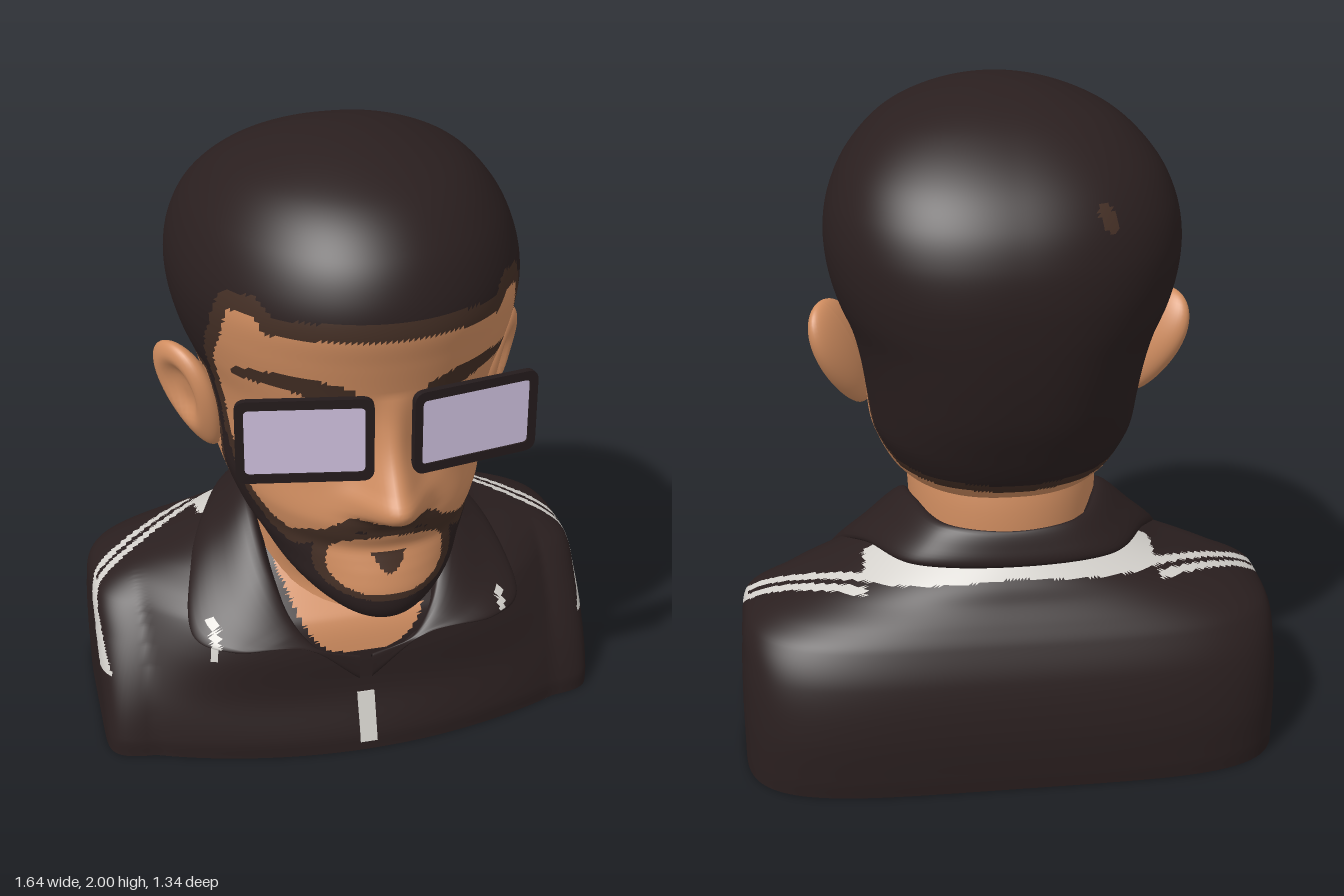
import * as THREE from 'three';

const mat = (name, color, side = THREE.FrontSide) => {
  const m = new THREE.MeshStandardMaterial({ color, side });
  m.name = name;
  return m;
};
const V = (x, y, z) => new THREE.Vector3(x, y, z);

// Smooth interpolation of key rows [t, a, b, ...]
function sample(keys, t) {
  let i = 0;
  while (i < keys.length - 2 && t > keys[i + 1][0]) i++;
  const A = keys[i], B = keys[i + 1], P = keys[Math.max(i - 1, 0)], N = keys[Math.min(i + 2, keys.length - 1)];
  const h = B[0] - A[0], s = Math.min(1, Math.max(0, (t - A[0]) / h)), s2 = s * s, s3 = s2 * s;
  return A.slice(1).map((a, k) => {
    const b = B[k + 1], m0 = (b - P[k + 1]) / (B[0] - P[0]) * h, m1 = (N[k + 1] - a) / (N[0] - A[0]) * h;
    return a * (2 * s3 - 3 * s2 + 1) + m0 * (s3 - 2 * s2 + s) + b * (3 * s2 - 2 * s3) + m1 * (s3 - s2);
  });
}

// Grid surface from fn(u, v); paint(centre) picks a material index per triangle
function surface(name, nu, nv, closed, fn, mats, paint = () => 0) {
  const cols = closed ? nu : nu + 1, pos = [], lists = mats.map(() => []);
  for (let j = 0; j <= nv; j++) for (let i = 0; i < cols; i++) pos.push(...fn(i / nu, j / nv).toArray());
  const tri = (...ids) => {
    const c = V(0, 0, 0);
    ids.forEach(k => c.add(V(pos[k * 3], pos[k * 3 + 1], pos[k * 3 + 2])));
    lists[paint(c.divideScalar(3))].push(...ids);
  };
  for (let j = 0; j < nv; j++) for (let i = 0; i < nu; i++) {
    const a = j * cols + i, b = j * cols + (i + 1) % cols;
    tri(a, b, b + cols);
    tri(a, b + cols, a + cols);
  }
  const g = new THREE.BufferGeometry();
  g.setAttribute('position', new THREE.Float32BufferAttribute(pos, 3));
  g.setIndex(lists.flat());
  let start = 0;
  lists.forEach((l, k) => { if (l.length) g.addGroup(start, l.length, k); start += l.length; });
  g.computeVertexNormals();
  const mesh = new THREE.Mesh(g, mats);
  mesh.name = name;
  return mesh;
}

// Point on a superellipse ring with separate front and back depth and squareness
function ring(u, w, zf, zb, zc, nFront, nBack) {
  const a = u * Math.PI * 2, s = Math.sin(a), c = Math.cos(a), n = c > 0 ? nFront : nBack;
  const r = (Math.abs(s) ** n + Math.abs(c) ** n) ** (-1 / n);
  return [w * s * r, zc + c * r * (c > 0 ? zf - zc : zc - zb), c * r];
}

// Signed distance to a polygon, negative inside
function polyDist(poly, x, y) {
  let d = Infinity, inside = false;
  poly.forEach(([ax, ay], i) => {
    const [bx, by] = poly[(i + 1) % poly.length], ex = bx - ax, ey = by - ay;
    const t = Math.min(1, Math.max(0, ((x - ax) * ex + (y - ay) * ey) / (ex * ex + ey * ey)));
    d = Math.min(d, Math.hypot(x - ax - ex * t, y - ay - ey * t));
    if ((ay > y) !== (by > y) && x < ax + ex * (y - ay) / ey) inside = !inside;
  });
  return inside ? -d : d;
}
const RAD = Math.PI / 180;
const polar = pts => pts.map(([deg, y]) => [deg * RAD * 0.5, y]);

// Bare skin areas as [azimuth in degrees, height]
const FACE = polar([[-30, 1.585], [20, 1.585], [37, 1.575], [43, 1.62], [52, 1.61], [58, 1.5], [66, 1.4], [70, 1.27],
  [70, 1.14], [62, 1.06], [53, 0.99], [43, 0.94], [34, 0.92], [20, 0.97], [11, 1.03], [0, 1.005], [-30, 1.005]]);
const NAPE = polar([[84, 1.3], [102, 1.3], [106, 1.1], [115, 0.97], [128, 0.89], [200, 0.86], [200, 0.4], [88, 0.4], [85, 1]]);

// height, half width, front z, back z, widest z
const HEAD = [[0.64, 0, 0.44, 0.4, 0.42], [0.66, 0.11, 0.525, 0.28, 0.38], [0.7, 0.19, 0.555, 0.16, 0.3],
  [0.76, 0.265, 0.56, 0.02, 0.2], [0.82, 0.315, 0.548, -0.35, 0.08], [0.86, 0.345, 0.535, -0.42, 0.03],
  [0.9, 0.365, 0.525, -0.455, 0], [0.95, 0.385, 0.545, -0.485, -0.03], [1, 0.4, 0.555, -0.51, -0.05],
  [1.1, 0.41, 0.535, -0.555, -0.07], [1.2, 0.425, 0.515, -0.585, -0.08], [1.3, 0.45, 0.52, -0.607, -0.09],
  [1.4, 0.49, 0.54, -0.622, -0.1], [1.5, 0.515, 0.565, -0.628, -0.1], [1.6, 0.52, 0.588, -0.617, -0.1],
  [1.7, 0.5, 0.572, -0.58, -0.1], [1.8, 0.45, 0.52, -0.505, -0.09], [1.9, 0.35, 0.41, -0.375, -0.05],
  [1.96, 0.225, 0.27, -0.245, -0.02], [2, 0, 0, 0, 0]]
  .map(([y, ...k]) => [Math.acos(Math.min(1, Math.max(-1, (1.32 - y) / 0.68))), ...k]);
// height, projection, width
const NOSE = [[0.98, 0, 0.1], [1.02, 0.035, 0.1], [1.045, 0.1, 0.095], [1.085, 0.134, 0.09], [1.13, 0.112, 0.075],
  [1.25, 0.055, 0.055], [1.4, 0, 0.05]];
// height, half width, back z, side front z, centre front z, front and back squareness
const TORSO = [[0, 0.82, -0.655, 0.185, 0.31, 11, 4.6], [0.06, 0.82, -0.662, 0.182, 0.305, 11, 4.6],
  [0.2, 0.82, -0.665, 0.15, 0.26, 8, 4.5], [0.35, 0.815, -0.64, 0.09, 0.245, 5, 4.3], [0.45, 0.8, -0.6, 0.03, 0.215, 3.6, 3.7],
  [0.5, 0.74, -0.57, 0, 0.165, 3, 3.2], [0.55, 0.62, -0.535, -0.02, 0.11, 2.6, 2.7], [0.6, 0.48, -0.505, -0.03, 0.08, 2.4, 2.4],
  [0.66, 0.37, -0.45, -0.05, 0.04, 2, 2], [0.72, 0.26, -0.38, -0.1, 0, 2, 2]];
const NECK = [[0.25, 0.33, 0.22, -0.42], [0.35, 0.31, 0.215, -0.41], [0.45, 0.295, 0.195, -0.4], [0.55, 0.285, 0.175, -0.4],
  [0.62, 0.285, 0.195, -0.39], [0.7, 0.285, 0.25, -0.395], [0.8, 0.29, 0.3, -0.39], [0.9, 0.29, 0.25, -0.37], [1, 0.28, 0.2, -0.36]];

function headPoint(u, v) {
  const phi = v * Math.PI, y = 1.32 - 0.68 * Math.cos(phi);
  const [w, zf, zb, zc] = sample(HEAD, phi);
  let [x, z, front] = ring(u, w, zf, zb, zc, 2.04, 2.35);
  if (front > 0 && y > 0.98 && y < 1.4) {
    const [h, nw] = sample(NOSE, y);
    z += h * Math.exp(-((Math.abs(x) / nw) ** 2.2));
  }
  return V(x, y, z);
}

// 0 skin, 1 dark hair, 2 brown hair edge
function headPaint({ x, y, z }) {
  const ax = Math.abs(x), s = Math.atan2(ax, z) * 0.5;
  if (Math.hypot((x + 0.24) / 0.028, (z + 0.53) / 0.02) < 1 && y > 1.5) return 2;
  if (z > 0.2 && ax > 0.1 && ax < 0.4) {
    const t = (ax - 0.1) / 0.3, mid = 1.385 + 0.04 * Math.sin(t * Math.PI * 0.85);
    if (Math.abs(y - mid) < 0.036 * (1 - 0.55 * t * t)) return 2;
  }
  const face = polyDist(FACE, s, y), nape = polyDist(NAPE, s, y);
  const mouth = z > 0.3 ? (((ax / 0.175) ** 2.5 + (Math.abs(y - 0.855) / 0.095) ** 2.5) ** 0.4 - 1) * 0.1 : 1;
  if (mouth < 0) return y < 0.89 && y > 0.825 && ax < 0.052 * Math.sqrt((y - 0.825) / 0.065) ? 2 : 0;
  if (face < 0 || nape < 0) return 0;
  return Math.min(face - 0.052, nape - 0.03, mouth - 0.02) < 0 ? 2 : 1;
}

function torsoPoint(u, v) {
  const y = v * 0.72, [w, zb, zs, zf, nf, nb] = sample(TORSO, y);
  const [x, z, front] = ring(u, w, zs, zb, -0.2, nf, nb);
  const chest = Math.max(0, 1 - Math.abs(x / 0.67) ** (2 + 3 * Math.min(y, 0.45)));
  return V(x, y, z + (zf - zs) * chest * Math.max(0, Math.min(1, front)));
}

// 0 shirt, 1 skin in the open neck, 2 pale stripe
function torsoPaint({ x, y, z }) {
  const ax = Math.abs(x);
  if (z > -0.1 && ax < 0.3 && y > 0.345 + 0.4 * (ax / 0.28) ** 3.5) return 1;
  if (ax > 0.44) {
    const d = z + 0.185 + 0.6 * (0.81 - ax) - 1.05 * Math.max(0, 0.47 - y);
    if (y > 0.25 && Math.abs(d) < 0.046) return y > 0.46 && Math.abs(d) < 0.011 ? 0 : 2;
  } else if (z < -0.25 && Math.abs(y - 0.615 - 0.03 * (1 - ax / 0.44)) < 0.028) return 2;
  return x < -0.46 && x > -0.485 && z > 0 && y > 0.34 && y < 0.42 ? 2 : 0;
}

// Folded collar lofted between a neck edge and an outer edge
function makeCollar(mats) {
  const edge = half => new THREE.CatmullRomCurve3([
    ...half.map(([x, y, z]) => V(-x, y, z)), ...half.slice(0, -1).reverse().map(p => V(...p))]);
  const inner = edge([[0.02, 0.34, 0.265], [0.15, 0.385, 0.265], [0.23, 0.47, 0.22], [0.28, 0.6, 0.12],
    [0.3, 0.735, -0.05], [0.285, 0.77, -0.2], [0.2, 0.765, -0.4], [0, 0.755, -0.455]]);
  const outer = edge([[0.02, 0.25, 0.262], [0.2, 0.4, 0.275], [0.42, 0.41, 0.255], [0.53, 0.425, 0.165],
    [0.5, 0.565, -0.05], [0.43, 0.635, -0.22], [0.3, 0.655, -0.43], [0, 0.655, -0.485]]);
  return surface('collar', 240, 24, false, (u, v) => {
    const a = inner.getPoint(u), b = outer.getPoint(u), dir = V(a.x + b.x, 0.2, a.z + b.z + 0.3).normalize();
    const bulge = 0.012 * Math.min(1, a.distanceTo(b) / 0.15);
    const low = a.clone().addScaledVector(dir, -0.03).add(V(0, -0.04, 0));
    const mid = a.clone().lerp(b, 0.5).addScaledVector(dir, bulge);
    const tuck = b.clone().addScaledVector(dir, -0.07);
    return new THREE.CatmullRomCurve3([low, a, mid, b, tuck]).getPoint(v);
  }, mats, ({ x, y, z }) => (z > 0.05 && ((Math.abs(x + 0.47) < 0.013 && y < 0.48) ||
    (Math.abs(x - 0.46) < 0.011 && y > 0.42 && y < 0.47)) ? 1 : 0));
}

function roundedRect(T, w, h, r) {
  const s = new T(), x = w / 2, y = h / 2;
  s.moveTo(-x + r, -y);
  s.lineTo(x - r, -y); s.quadraticCurveTo(x, -y, x, -y + r);
  s.lineTo(x, y - r); s.quadraticCurveTo(x, y, x - r, y);
  s.lineTo(-x + r, y); s.quadraticCurveTo(-x, y, -x, y - r);
  s.lineTo(-x, -y + r); s.quadraticCurveTo(-x, -y, -x + r, -y);
  return s;
}

export function createModel() {
  const dark = mat('darkHairAndShirt', 0x2a1f1f, THREE.DoubleSide), brown = mat('hairEdge', 0x442f25);
  const skin = mat('skin', 0xd08d60), pale = mat('paleTrim', 0xd3d0cb, THREE.DoubleSide);
  const frameMat = mat('glassesFrame', 0x241b1c), lensMat = mat('lens', 0xcdbfdc);
  const model = new THREE.Group();
  model.name = 'bust';
  const add = (name, geo, m, parent, x = 0, y = 0, z = 0) => {
    const mesh = new THREE.Mesh(geo, m);
    mesh.name = name;
    mesh.position.set(x, y, z);
    parent.add(mesh);
    return mesh;
  };

  model.add(surface('head', 210, 160, true, headPoint, [skin, dark, brown], headPaint));
  model.add(surface('neck', 48, 24, true, (u, v) => {
    const y = 0.25 + 0.75 * v, [w, zf, zb] = sample(NECK, y), [x, z] = ring(u, w, zf, zb, -0.1, 2.1, 2.1);
    return V(x, y, z);
  }, [skin]));
  model.add(surface('torso', 290, 100, true, torsoPoint, [dark, skin, pale], torsoPaint));
  model.add(surface('base', 145, 1, true, (u, v) => (v ? torsoPoint(u, 0) : V(0, 0, -0.2)), [dark]));
  model.add(makeCollar([dark, pale]));
  add('zipPull', new THREE.BoxGeometry(0.055, 0.17, 0.015), pale, model, 0, 0.115, 0.286).rotation.x = -0.286;

  // Ear: a flattened ball, lobe swept forward, with a hollow pressed into its outer side
  const earGeo = new THREE.SphereGeometry(1, 40, 32), p = earGeo.attributes.position;
  for (let i = 0; i < p.count; i++) {
    const x = p.getX(i), y = p.getY(i), z = p.getZ(i), r = Math.hypot(y - 0.15, z - 0.05);
    const hollow = x > 0 ? 0.8 * Math.exp(-((r / 0.5) ** 4)) : 0;
    p.setXYZ(i, (x - hollow) * 0.055, y * 0.18, z * 0.108 * (1 + 0.3 * y) - 0.025 * y);
  }
  earGeo.computeVertexNormals();

  // Lens frame outline with its opening
  const rim = roundedRect(THREE.Shape, 0.385, 0.255, 0.035);
  rim.holes.push(roundedRect(THREE.Path, 0.335, 0.2, 0.015));
  const rimGeo = new THREE.ExtrudeGeometry(rim, { depth: 0.02, bevelEnabled: false });

  for (const side of [1, -1]) {
    const label = side > 0 ? 'left' : 'right';
    const ear = add(label + 'Ear', earGeo, skin, model, side * 0.475, 1.18, -0.035);
    ear.rotation.set(0, side * -0.55, side * -0.28, 'ZYX');
    ear.scale.x = side;

    const eye = add(label + 'Eye', new THREE.SphereGeometry(0.06, 24, 16), pale, model, side * 0.215, 1.275, 0.388);
    eye.scale.y = 0.65;
    add(label + 'Pupil', new THREE.SphereGeometry(0.022, 16, 12), frameMat, model, side * 0.21, 1.275, 0.432);

    const glass = new THREE.Group();
    glass.name = label + 'Glass';
    glass.position.set(side * 0.245, 1.285, 0.525);
    glass.rotation.y = side * 0.18;
    add('frame', rimGeo, frameMat, glass, 0, 0, -0.01);
    add('lens', new THREE.BoxGeometry(0.34, 0.205, 0.009), lensMat, glass);
    model.add(glass);
  }
  return model;
}
